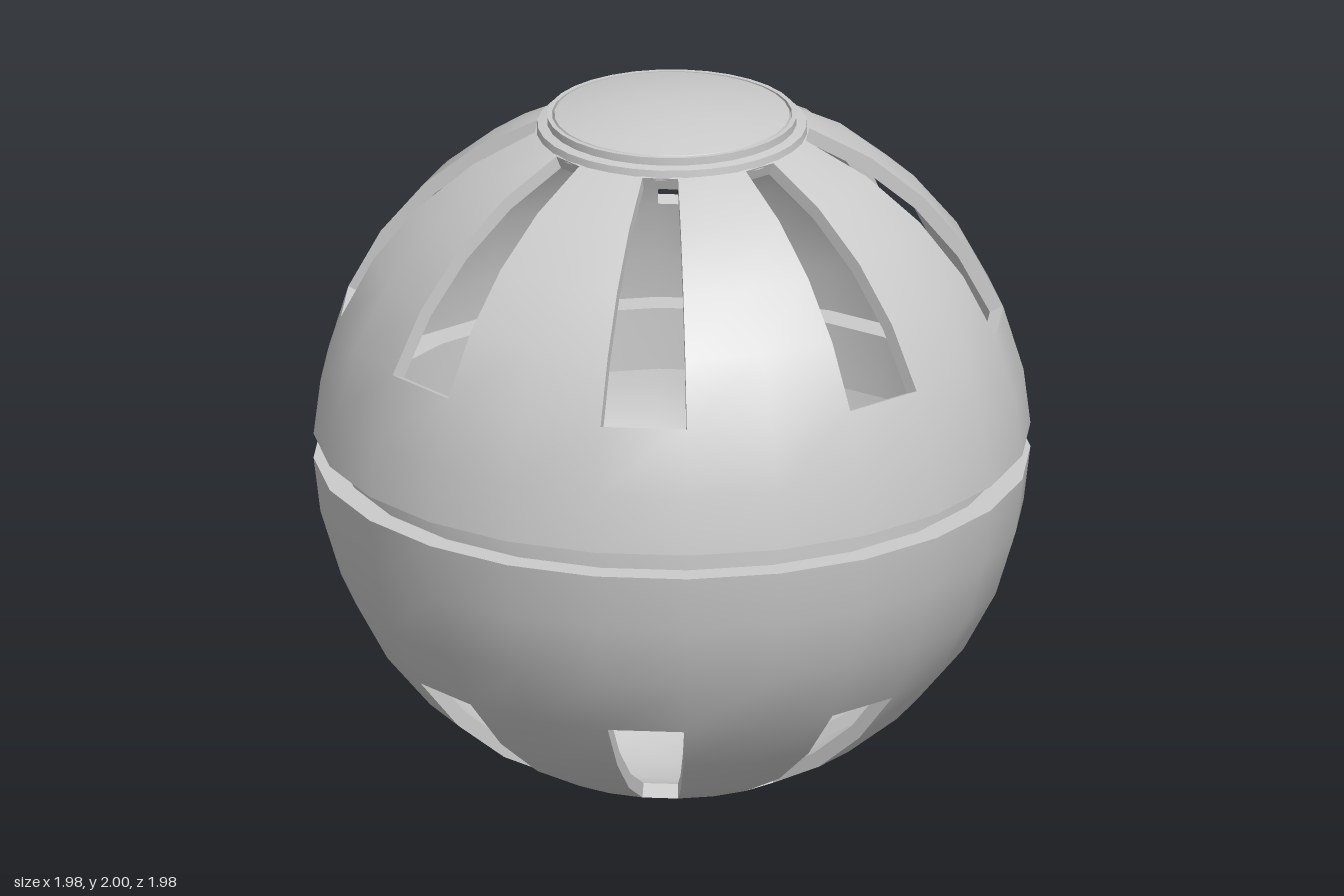
import * as THREE from 'three';
import { toCreasedNormals } from 'three/addons/utils/BufferGeometryUtils.js';

const SEG = 24, RINGS = 8;          // facets around, rings from equator to pole
const OUTER = 0.99, INNER = 0.95;   // shell radii
const CENTER = 0.997;               // height of the ball's middle
const HALF_GAP = 0.035;             // half height of the equator groove

const material = new THREE.MeshStandardMaterial({ color: 0xcccccc, side: THREE.DoubleSide });

// Hollow hemisphere with a slot in every third column, from ring slotStart to ring 6
function hemisphere(sign, slotStart) {
  const pos = [];
  const point = (r, col, ring) => {
    const lat = (ring / RINGS) * Math.PI / 2;
    const lon = (col / SEG) * Math.PI * 2;
    const y = ring === 0 ? HALF_GAP : r * Math.sin(lat);
    const h = ring === RINGS ? 0 : r * Math.cos(lat);
    return [h * Math.sin(lon), CENTER + sign * y, h * Math.cos(lon)];
  };
  const tri = (a, b, c) => pos.push(...a, ...b, ...c);
  // Corners are given for the upper half; the lower half reverses them
  const quad = (a, b, c, d) => {
    const q = sign > 0 ? [a, b, c, d] : [d, c, b, a];
    tri(q[0], q[1], q[2]);
    tri(q[0], q[2], q[3]);
  };
  const solid = (col, ring) =>
    ring >= 0 && !((col + SEG) % 3 === 1 && ring >= slotStart && ring < 6);

  for (let i = 0; i < SEG; i++) {
    for (let j = 0; j < RINGS; j++) {
      if (!solid(i, j)) continue;
      const corners = [[i, j], [i + 1, j], [i + 1, j + 1], [i, j + 1]];
      const o = corners.map(([c, r]) => point(OUTER, c, r));
      const n = corners.map(([c, r]) => point(INNER, c, r));
      if (j === RINGS - 1) {
        // Triangles closing the pole
        if (sign > 0) { tri(o[0], o[1], o[2]); tri(n[2], n[1], n[0]); }
        else { tri(o[2], o[1], o[0]); tri(n[0], n[1], n[2]); }
      } else {
        quad(...o);
        quad(n[3], n[2], n[1], n[0]);
      }
      // Thickness walls wherever the neighbouring cell is open
      const neighbours = [[i, j - 1], [i + 1, j], [i, j + 1], [i - 1, j]];
      neighbours.forEach(([c, r], k) => {
        const next = (k + 1) % 4;
        if (!solid(c, r)) quad(o[next], o[k], n[k], n[next]);
      });
    }
  }
  const geo = new THREE.BufferGeometry();
  geo.setAttribute('position', new THREE.Float32BufferAttribute(pos, 3));
  return toCreasedNormals(geo, 0.6);
}

function lathe(profile, segments) {
  const pts = profile.map(([x, y]) => new THREE.Vector2(x, y));
  return toCreasedNormals(new THREE.LatheGeometry(pts, segments), 0.6);
}

export function createModel() {
  const group = new THREE.Group();
  const add = (name, geometry) => {
    const mesh = new THREE.Mesh(geometry, material);
    mesh.name = name;
    group.add(mesh);
  };

  add('upperShell', hemisphere(1, 2));
  add('lowerShell', hemisphere(-1, 3));

  // Inner joining band whose outside forms the floor of the equator groove
  const low = CENTER - HALF_GAP, high = CENTER + HALF_GAP;
  add('joiningBand', lathe([
    [0.86, 0.88], [0.94, 0.88], [0.955, low], [0.92, low],
    [0.92, high], [0.955, high], [0.945, 1.06], [0.86, 1.06], [0.86, 0.88],
  ], SEG));

  // Raised rim around the top lid
  add('lidRim', lathe([
    [0.375, 1.905], [0.372, 1.933], [0.345, 1.938], [0.345, 1.96],
    [0.332, 1.96], [0.332, 1.945],
  ], 32));

  // Shallow domed lid
  add('lid', lathe([
    [0.334, 1.94], [0.325, 1.96], [0.27, 1.972], [0.19, 1.987], [0.1, 1.997], [0, 2.0],
  ], 32));

  // Small base point on which the ball stands
  add('basePoint', lathe([[0, 0], [0.1, 0.007], [0.193, 0.025]], SEG));

  return group;
}
